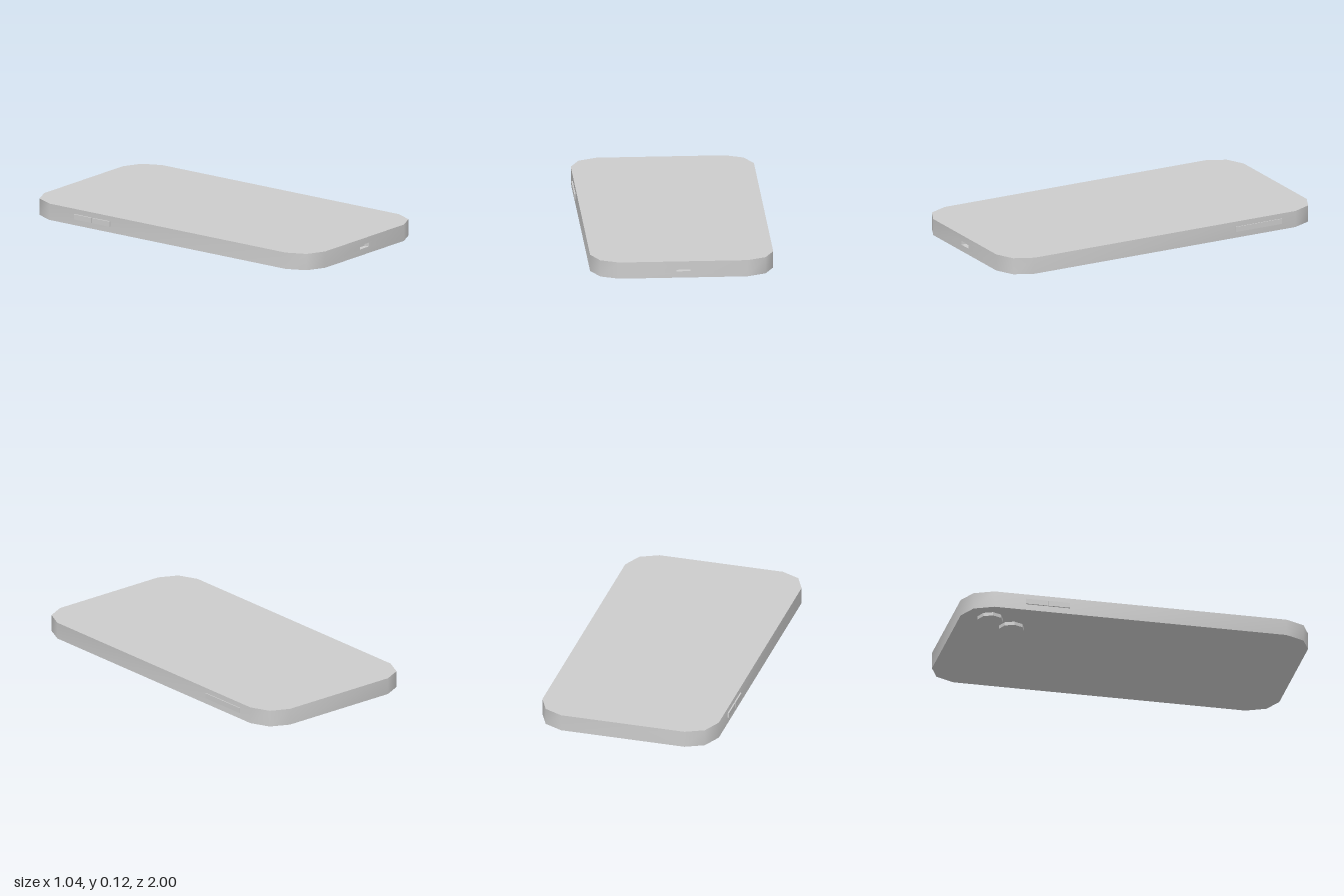
import * as THREE from 'three';
import { mergeGeometries, toCreasedNormals } from 'three/addons/utils/BufferGeometryUtils.js';

const BOTTOM = 0.02, TOP = 0.115;
const PORT = { w: 0.08, y0: 0.057, y1: 0.08, depth: 0.03 };

// Outline [x, z], from the front left corner round the back to the front right corner
function bodyOutline() {
  const corner = [[0.36, 1], [0.465, 0.95], [0.515, 0.84]];
  const half = [...corner, ...corner.map(([x, z]) => [x, -z]).reverse()];
  return [...half, ...half.map(([x, z]) => [-x, z]).reverse()];
}

function rectangle(path, x0, y0, x1, y1) {
  path.moveTo(x0, y0).lineTo(x1, y0).lineTo(x1, y1).lineTo(x0, y1).closePath();
  return path;
}

export function createModel() {
  const group = new THREE.Group();
  const material = new THREE.MeshStandardMaterial({ color: 0xcccccc });
  const add = (name, geometry, x = 0, y = 0, z = 0) => {
    const mesh = new THREE.Mesh(geometry, material);
    mesh.name = name;
    mesh.position.set(x, y, z);
    group.add(mesh);
  };

  // Wall: a strip bent along the outline, closed by a front panel with a port opening
  const outline = bodyOutline();
  const n = outline.length;
  const wall = new THREE.PlaneGeometry(1, 1, n - 1, 1);
  const pos = wall.attributes.position;
  for (let i = 0; i < pos.count; i++) {
    const [x, z] = outline[i % n];
    pos.setXYZ(i, x, i < n ? TOP : BOTTOM, z);
  }
  const panel = rectangle(new THREE.Shape(), -0.36, BOTTOM, 0.36, TOP);
  panel.holes.push(rectangle(new THREE.Path(), -PORT.w / 2, PORT.y0, PORT.w / 2, PORT.y1));
  const front = new THREE.ShapeGeometry(panel).translate(0, 0, 1);
  add('frame', toCreasedNormals(mergeGeometries([wall, front]), 0.8));

  // Flat screen above and back cover below
  const face = new THREE.Shape(outline.map(([x, z]) => new THREE.Vector2(x, z)));
  add('screen', new THREE.ShapeGeometry(face).rotateX(-Math.PI / 2), 0, TOP, 0);
  add('backCover', new THREE.ShapeGeometry(face).rotateX(Math.PI / 2), 0, BOTTOM, 0);

  // Charging port: a box turned inside out, without its outer face
  const port = new THREE.BoxGeometry(PORT.w, PORT.y1 - PORT.y0, PORT.depth);
  port.setIndex(Array.from(port.index.array).slice(0, 30));
  port.scale(1, 1, -1);
  const normals = port.attributes.normal;
  for (let i = 0; i < normals.count; i++) {
    normals.setXYZ(i, -normals.getX(i), -normals.getY(i), -normals.getZ(i));
  }
  // The scaled normals point outward, so they are flipped to face into the recess
  add('chargingPort', port, 0, (PORT.y0 + PORT.y1) / 2, 1 - PORT.depth / 2);

  // Side buttons [name, side, z start, z end, outer x]
  const buttons = [
    ['powerButton', 1, -0.75, -0.455, 0.52],
    ['volumeUpButton', -1, -0.66, -0.537, 0.523],
    ['volumeDownButton', -1, -0.53, -0.407, 0.523],
  ];
  for (const [name, side, z0, z1, outer] of buttons) {
    const depth = 0.02;
    add(name, new THREE.BoxGeometry(depth, 0.03, z1 - z0),
      side * (outer - depth / 2), 0.07, (z0 + z1) / 2);
  }

  // Two octagonal camera lenses under the back cover
  for (const [x, z] of [[-0.275, -0.688], [-0.37, -0.832]]) {
    const lens = new THREE.CylinderGeometry(0.0726, 0.0726, BOTTOM, 8);
    add('cameraLens', toCreasedNormals(lens, 0.5), x, BOTTOM / 2, z);
  }
  return group;
}
